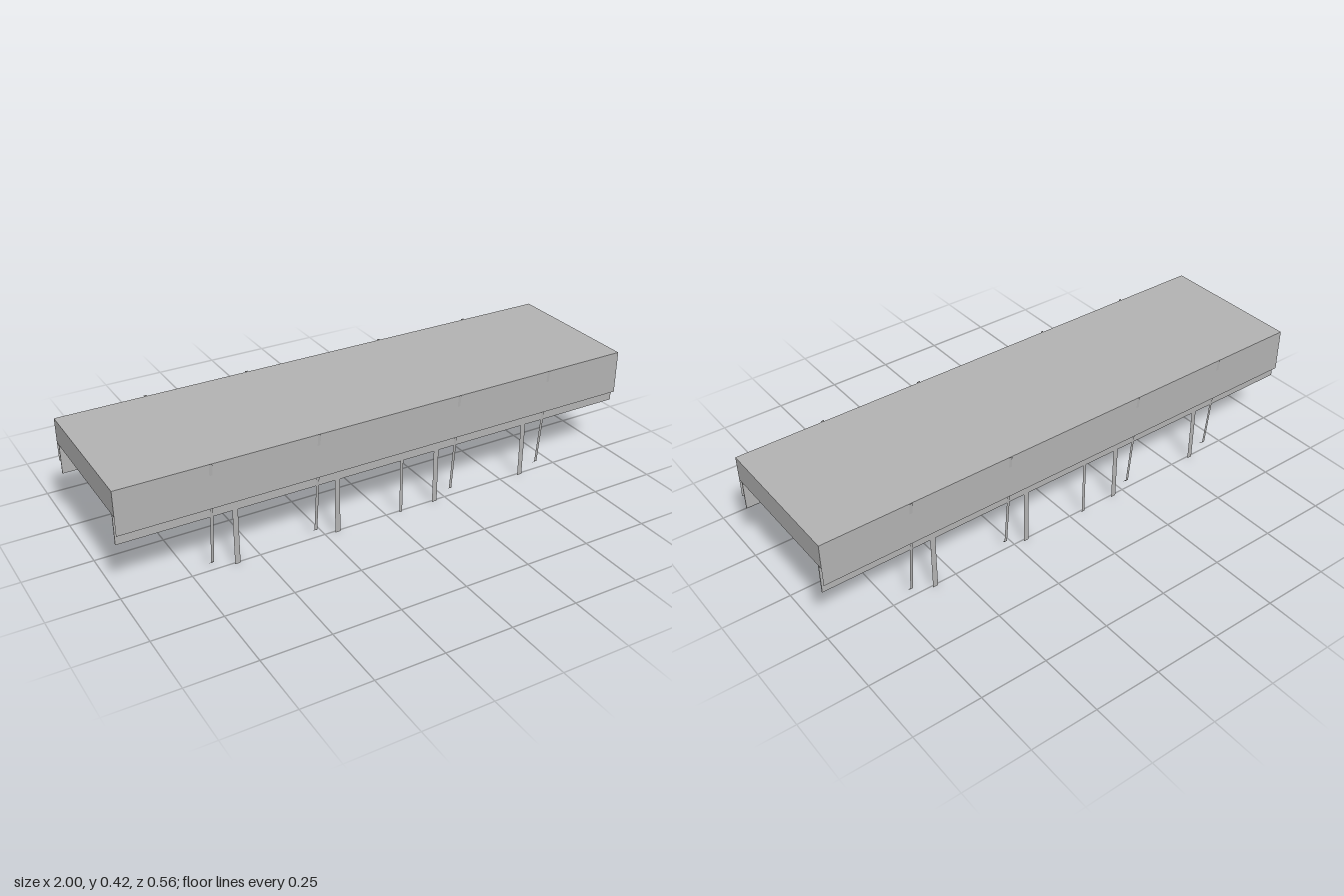
import * as THREE from 'three';

export function createModel() {
  const model = new THREE.Group();
  model.name = 'canopy';
  const grey = new THREE.MeshStandardMaterial({ color: 0xb2b2b2, side: THREE.DoubleSide });
  grey.name = 'light grey';

  const TOP = 0.416, HALF_Z = 0.274, PANEL_Z = 0.255;

  function add(parent, name, geometry, x, y, z) {
    const mesh = new THREE.Mesh(geometry, grey);
    mesh.name = name;
    mesh.position.set(x, y, z);
    parent.add(mesh);
    return mesh;
  }

  // Flat upright sheet facing z
  function sheet(parent, name, x, width, bottom, z) {
    return add(parent, name, new THREE.PlaneGeometry(width, TOP - bottom), x, (TOP + bottom) / 2, z);
  }

  // Leaning strip with a small inward hook at its foot; rows are [y, z]
  function strut(parent, x) {
    const rows = [[0.418, 0.278], [0.025, 0.242], [0.012, 0.226]];
    for (let i = 0; i < rows.length - 1; i++) {
      const [y0, z0] = rows[i], [y1, z1] = rows[i + 1];
      const strip = new THREE.PlaneGeometry(0.011, Math.hypot(y0 - y1, z0 - z1));
      strip.rotateX(Math.atan2(z0 - z1, y0 - y1));
      add(parent, i ? 'strutFoot' : 'strut', strip, x, (y0 + y1) / 2, (z0 + z1) / 2);
    }
  }

  // Roof sheet
  const roof = new THREE.PlaneGeometry(2, HALF_Z * 2);
  roof.rotateX(-Math.PI / 2);
  add(model, 'roof', roof, 0, TOP, 0);

  // Both halves are the same, turned half a circle about the vertical axis
  for (const turn of [0, Math.PI]) {
    const side = new THREE.Group();
    side.name = turn ? 'backSide' : 'frontSide';
    side.rotation.y = turn;
    model.add(side);

    // Long outer fascia, and the shorter fascia at one end
    sheet(side, 'longFascia', 0, 2, 0.252, HALF_Z);
    const end = sheet(side, 'endFascia', 1, HALF_Z * 2, 0.323, 0);
    end.rotation.y = Math.PI / 2;

    // Deep inner panel
    add(side, 'innerPanel', new THREE.BoxGeometry(2, TOP - 0.002 - 0.211, 0.004),
      0, (TOP - 0.002 + 0.211) / 2, PANEL_Z);

    // Flat posts just outside the panel: [x, width]
    for (const [x, width] of [[-0.588, 0.02], [-0.203, 0.02], [0.056, 0.012], [0.2, 0.02], [0.584, 0.02]]) {
      sheet(side, 'post', x, width, 0, PANEL_Z + 0.003);
    }

    // Thin leaning struts
    for (const x of [-0.672, -0.281, 0.279, 0.67]) strut(side, x);
  }

  return model;
}
